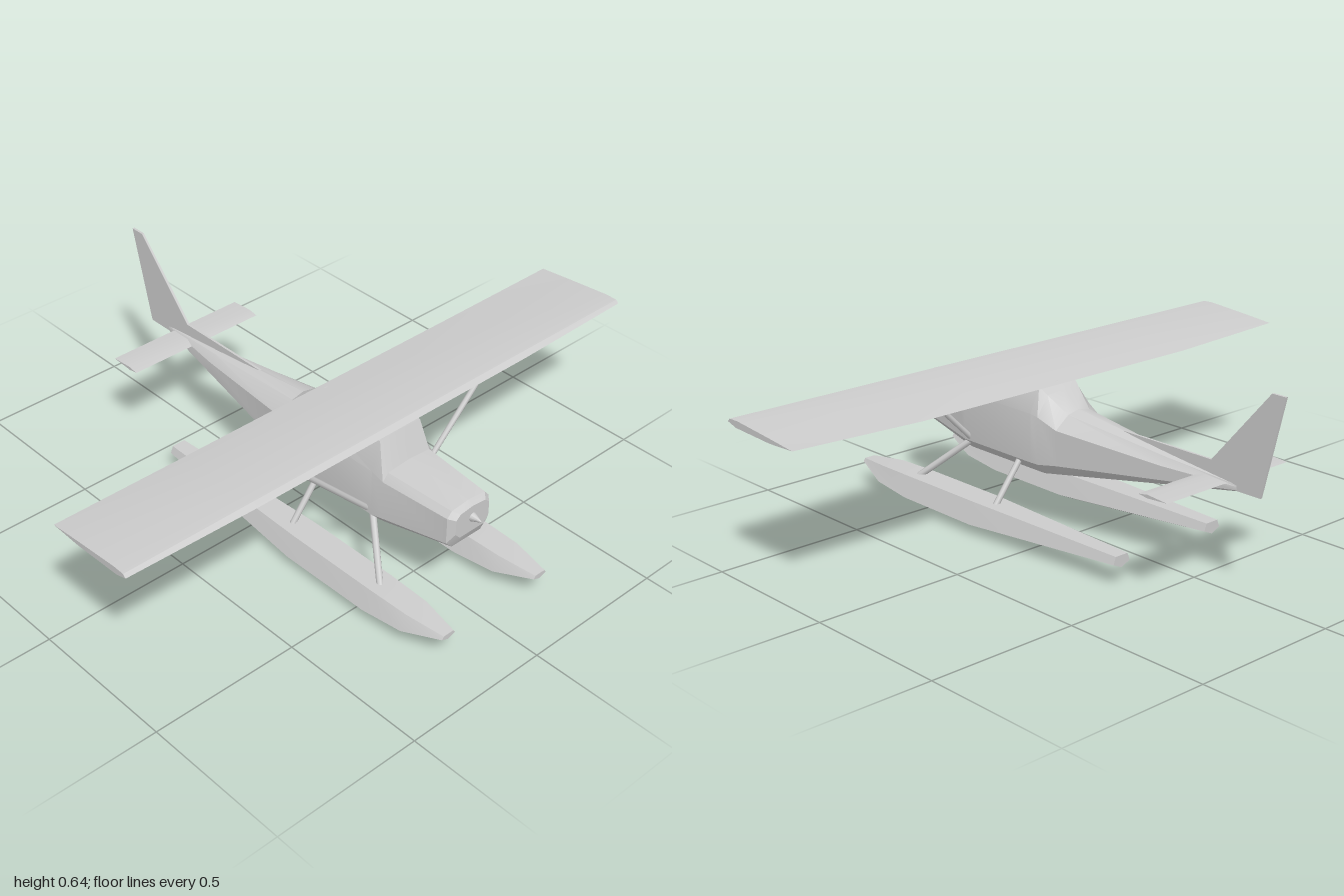
import * as THREE from 'three';
import { toCreasedNormals } from 'three/addons/utils/BufferGeometryUtils.js';

const material = new THREE.MeshStandardMaterial({ color: 0xcccccc });

// Skin over a list of closed rings of [x, y, z], with flat caps at both ends
function loft(rings, crease = 0.5) {
  const n = rings[0].length, last = (rings.length - 1) * n, index = [];
  for (let i = 0; i < rings.length - 1; i++) {
    for (let j = 0; j < n; j++) {
      const a = i * n + j, b = i * n + (j + 1) % n;
      index.push(a, a + n, b, b, a + n, b + n);
    }
  }
  for (let j = 1; j < n - 1; j++) index.push(0, j, j + 1, last, last + j + 1, last + j);
  const g = new THREE.BufferGeometry();
  g.setAttribute('position', new THREE.Float32BufferAttribute(rings.flat(2), 3));
  g.setIndex(index);
  return toCreasedNormals(g, crease);
}

// Round rod between two points, optionally flattened
function rod(from, to, radius) {
  const a = new THREE.Vector3(...from), b = new THREE.Vector3(...to);
  const g = new THREE.CylinderGeometry(radius, radius, a.distanceTo(b), 8);
  const dir = b.clone().sub(a).normalize();
  g.applyQuaternion(new THREE.Quaternion().setFromUnitVectors(new THREE.Vector3(0, 1, 0), dir));
  const mid = a.add(b).multiplyScalar(0.5);
  return g.translate(mid.x, mid.y, mid.z);
}

export function createModel() {
  const model = new THREE.Group();
  const add = (name, geometry) => {
    const mesh = new THREE.Mesh(geometry, material);
    mesh.name = name;
    model.add(mesh);
    return mesh;
  };

  // Fuselage: z, bottom y, bottom half width, low side y, half width, high side y, shoulder y, shoulder half width, top y
  const stations = [
    [0.72, 0.295, 0.05, 0.315, 0.068, 0.365, 0.38, 0.052, 0.386],
    [0.70, 0.255, 0.06, 0.28, 0.085, 0.37, 0.39, 0.068, 0.396],
    [0.46, 0.208, 0.078, 0.24, 0.106, 0.375, 0.4, 0.085, 0.406],
    [0.42, 0.201, 0.08, 0.235, 0.112, 0.395, 0.49, 0.082, 0.494],
    [0.10, 0.2, 0.08, 0.235, 0.112, 0.395, 0.474, 0.075, 0.478],
    [0.07, 0.2, 0.08, 0.235, 0.11, 0.39, 0.452, 0.066, 0.458],
    [0.00, 0.211, 0.072, 0.245, 0.097, 0.36, 0.4, 0.045, 0.41],
    [-0.40, 0.276, 0.03, 0.291, 0.042, 0.335, 0.358, 0.02, 0.364],
    [-0.66, 0.317, 0.003, 0.32, 0.005, 0.331, 0.336, 0.003, 0.338]
  ];
  add('fuselage', loft(stations.map(([z, yb, wb, yl, w, yh, ys, ws, yt]) => [
    [-wb, yb, z], [wb, yb, z], [w, yl, z], [w, yh, z], [ws, ys, z],
    [0, yt, z], [-ws, ys, z], [-w, yh, z], [-w, yl, z]
  ]), 0.45));

  // Propeller hub
  const hub = new THREE.ConeGeometry(0.017, 0.045, 10);
  hub.rotateX(Math.PI / 2);
  add('spinner', hub.translate(0, 0.345, 0.736));

  // Main wing: thin airfoil, slightly tapered towards the tips
  const wingStations = [1, 0.55, -0.55, -1].map(x => {
    const tip = Math.abs(x) > 0.6 ? 1 : 0, inset = tip * 0.01;
    return [
      [x, 0.497, 0.42 - inset], [x, 0.478 + tip * 0.008, 0.37], [x, 0.472 + tip * 0.008, 0.2],
      [x, 0.474 + tip * 0.011, 0.08 + inset], [x, 0.495, 0.2], [x, 0.508, 0.36], [x, 0.507, 0.4]
    ];
  });
  add('wing', loft(wingStations, 0.4));

  // Tailplane
  add('tailplane', loft([0.255, -0.255].map(x => [
    [x, 0.335, -0.515], [x, 0.33, -0.55], [x, 0.335, -0.628], [x, 0.341, -0.55]
  ])));

  // Fin with its dorsal fillet, drawn as (-z, y)
  const outline = [[0.2, 0.388], [0.56, 0.388], [0.78, 0.636], [0.83, 0.636], [0.75, 0.318], [0.65, 0.318]];
  const finShape = new THREE.Shape(outline.map(p => new THREE.Vector2(...p)));
  const fin = new THREE.ExtrudeGeometry(finShape, { depth: 0.008, bevelEnabled: false });
  add('fin', fin.translate(0, 0, -0.004).rotateY(Math.PI / 2));

  // Floats: z, deck y, deck half width, chine y, chine half width, keel y
  const hull = [
    [0.83, 0.09, 0.02, 0.08, 0.027, 0.07],
    [0.70, 0.1, 0.042, 0.05, 0.064, 0.022],
    [0.55, 0.102, 0.046, 0.036, 0.072, 0],
    [0.22, 0.102, 0.046, 0.034, 0.072, 0],
    [-0.39, 0.094, 0.024, 0.07, 0.033, 0.055]
  ];
  for (const [side, s] of [['left', 1], ['right', -1]]) {
    const float = add(side + 'Float', loft(hull.map(([z, yd, wd, yc, wc, yk]) => [
      [0, yk, z], [wc, yc, z], [wd, yd, z], [-wd, yd, z], [-wc, yc, z]
    ]), 0.3));
    float.position.x = s * 0.195;

    // Struts to the wing and to the float
    add(side + 'WingStrut', rod([s * 0.09, 0.23, 0.4], [s * 0.345, 0.485, 0.4], 0.009));
    add(side + 'FrontFloatStrut', rod([s * 0.09, 0.235, 0.405], [s * 0.2, 0.095, 0.555], 0.011));
    add(side + 'RearFloatStrut', rod([s * 0.09, 0.235, 0.17], [s * 0.2, 0.095, 0.17], 0.01));
  }
  return model;
}
